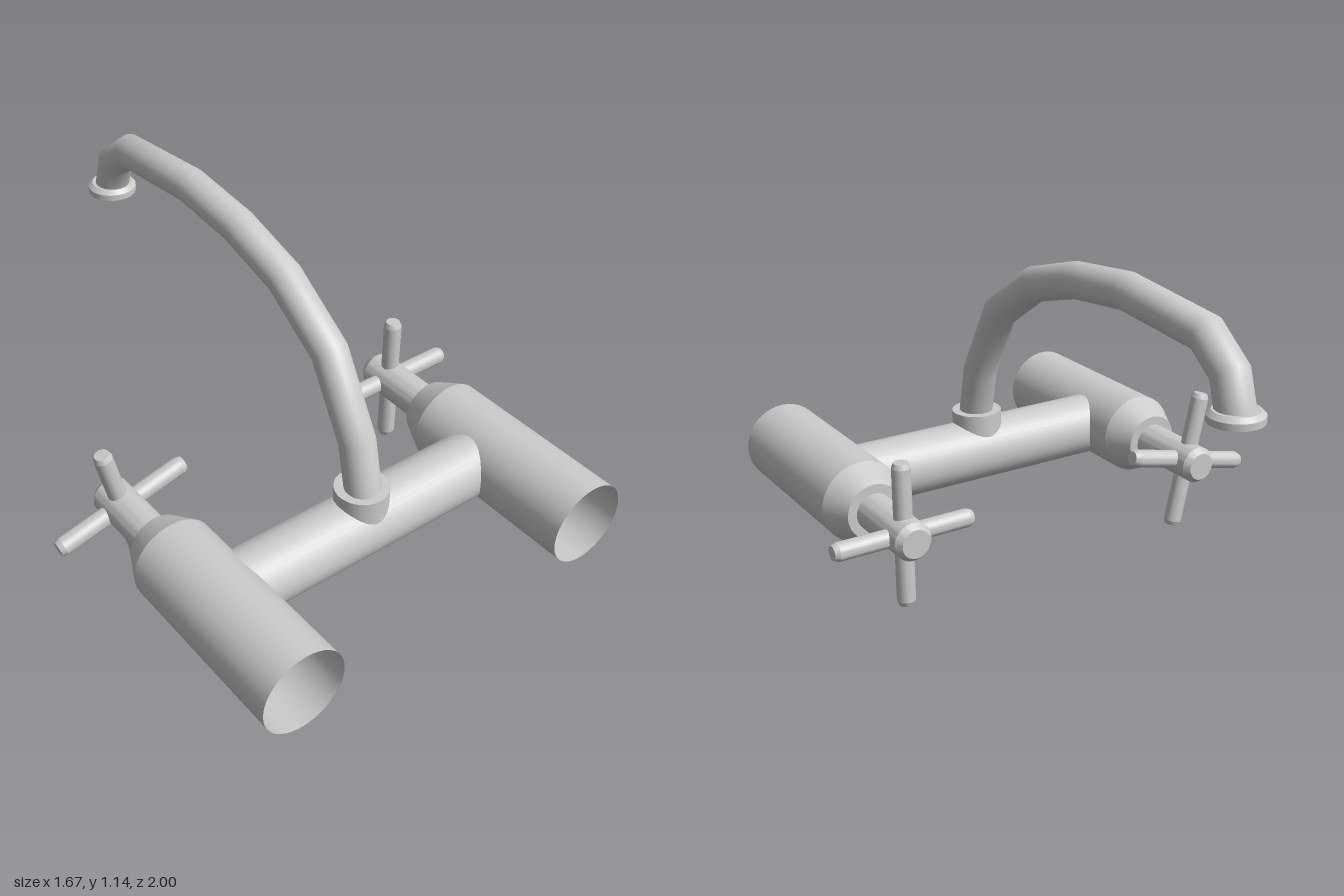
import * as THREE from 'three';
import { toCreasedNormals } from 'three/addons/utils/BufferGeometryUtils.js';

const material = new THREE.MeshStandardMaterial({ color: 0xcccccc, side: THREE.DoubleSide });

const AXIS_Y = 0.263; // height of the valve axes
const MID_X = -0.005; // spout and crossbar centre

function part(name, geometry) {
  const mesh = new THREE.Mesh(geometry, material);
  mesh.name = name;
  return mesh;
}

// Turned solid around y from [radius, height] pairs, listed bottom to top
function turned(profile, segments = 40) {
  const points = profile.map(([r, h]) => new THREE.Vector2(r, h));
  return toCreasedNormals(new THREE.LatheGeometry(points, segments), 0.35);
}

// Straight-segment path that keeps one tube ring per given [y, z] point
class BentPath extends THREE.Curve {
  constructor(points) {
    super();
    this.points = points.map(([y, z]) => new THREE.Vector3(MID_X, y, z));
  }
  getPoint(t, target = new THREE.Vector3()) {
    const last = this.points.length - 1;
    const i = Math.min(Math.floor(t * last + 1e-6), last - 1);
    return target.lerpVectors(this.points[i], this.points[i + 1], t * last - i);
  }
  getPointAt(u, target) {
    return this.getPoint(u, target);
  }
  getTangentAt(u, target = new THREE.Vector3()) {
    const i = Math.round(u * (this.points.length - 1));
    const p = this.points;
    target.set(0, 0, 0);
    if (i > 0) target.add(p[i].clone().sub(p[i - 1]).normalize());
    if (i < p.length - 1) target.add(p[i + 1].clone().sub(p[i]).normalize());
    return target.normalize();
  }
}

// One valve: open body, stem and four-armed handle, all along z
function createValve(name, x, handleAngle) {
  const valve = new THREE.Group();
  valve.name = name;
  valve.position.set(x, AXIS_Y, 0);

  // Body is open at the front and necks down towards the handle
  const body = turned([[0.148, -1], [0.148, -0.33], [0.1, -0.23], [0, -0.23]]);
  valve.add(part('valveBody', body.rotateX(-Math.PI / 2)));

  const stem = turned([[0.067, -0.23], [0.067, 0.047], [0.05, 0.07], [0, 0.07]]);
  valve.add(part('valveStem', stem.rotateX(-Math.PI / 2)));

  const handle = new THREE.Group();
  handle.name = 'crossHandle';
  handle.position.z = 0.02;
  handle.rotation.z = handleAngle;
  for (let i = 0; i < 4; i++) {
    const arm = part('handleArm', turned([[0.032, 0], [0.032, 0.237], [0.025, 0.254], [0, 0.254]], 24));
    arm.rotation.z = i * Math.PI / 2;
    handle.add(arm);
  }
  valve.add(handle);
  return valve;
}

export function createModel() {
  const model = new THREE.Group();
  model.name = 'mixerTap';

  model.add(createValve('rightValve', -0.588, 0.235));
  model.add(createValve('leftValve', 0.58, 0));

  // Bar joining the two bodies
  const bar = part('crossbar', new THREE.CylinderGeometry(0.114, 0.114, 1.2, 40));
  bar.rotation.z = Math.PI / 2;
  bar.position.set(MID_X, 0.259, 0.545);
  model.add(bar);

  // Collar under the spout, sunk into the bar
  const collar = part('spoutCollar', new THREE.CylinderGeometry(0.091, 0.091, 0.116, 40));
  collar.position.set(MID_X, 0.358, 0.549);
  model.add(collar);

  // Swept spout with visible bends
  const path = new BentPath([
    [0.36, 0.565], [0.58, 0.515], [0.84, 0.365], [0.993, 0.133], [1.062, -0.113],
    [1.09, -0.388], [1.055, -0.768], [0.968, -0.88], [0.855, -0.912],
  ]);
  model.add(part('spout', new THREE.TubeGeometry(path, path.points.length - 1, 0.061, 32)));

  // Ring at the outlet, open in the middle
  const ring = part('outletRing', turned([
    [0.056, 0.872], [0.056, 0.836], [0.087, 0.836], [0.087, 0.858], [0.072, 0.872], [0.056, 0.872],
  ]));
  ring.position.set(MID_X, 0, -0.913);
  model.add(ring);

  return model;
}
